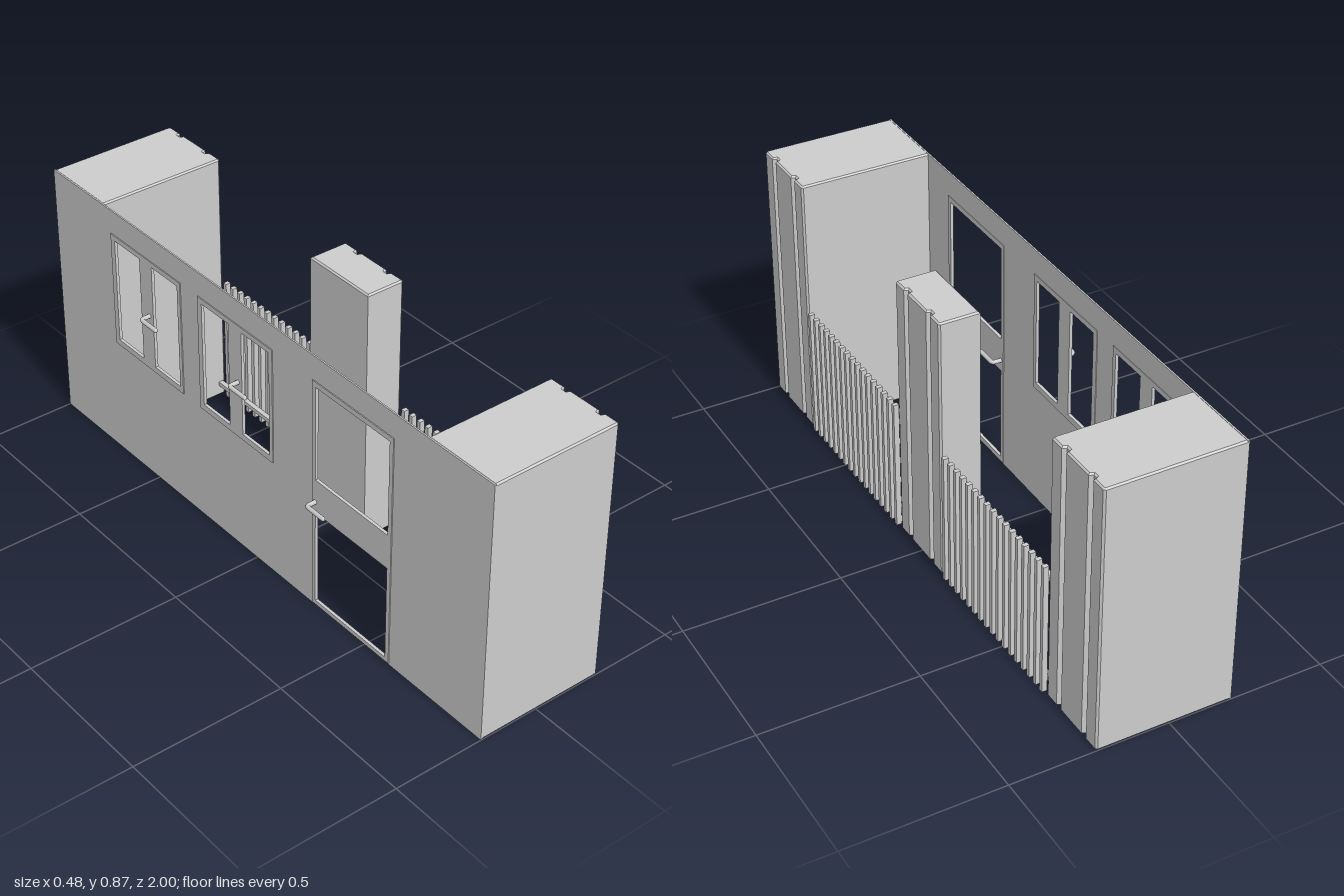
import * as THREE from 'three';

const H = 0.87;

export function createModel() {
  const grey = new THREE.MeshStandardMaterial({ color: 0xcccccc });
  grey.name = 'plain grey';
  const root = new THREE.Group();
  root.name = 'porchFacade';

  function add(name, geometry, parent = root) {
    const mesh = new THREE.Mesh(geometry, grey);
    mesh.name = name;
    parent.add(mesh);
    return mesh;
  }

  function box(name, x0, x1, y0, y1, z0, z1, parent) {
    const m = add(name, new THREE.BoxGeometry(x1 - x0, y1 - y0, z1 - z0), parent);
    m.position.set((x0 + x1) / 2, (y0 + y1) / 2, (z0 + z1) / 2);
    return m;
  }

  // Upright sheet in the z-y plane with rectangular openings [z0, z1, y0, y1]
  function sheet(name, [z0, z1, y0, y1], openings, x0, x1) {
    const rect = (a, b, c, d) => [[a, c], [b, c], [b, d], [a, d]].map(p => new THREE.Vector2(...p));
    const shape = new THREE.Shape(rect(z0, z1, y0, y1));
    openings.forEach(o => shape.holes.push(new THREE.Path(rect(...o))));
    const g = new THREE.ExtrudeGeometry(shape, { depth: x1 - x0, bevelEnabled: false });
    g.rotateY(-Math.PI / 2);
    g.translate(x1, 0, 0);
    return add(name, g);
  }

  // Pillar with two vertical grooves in its street face and chamfered edges
  function pillar(name, xBack, zMid) {
    const hw = 0.13, xf = 0.232, c = 0.006, b = 0.005, depth = 0.012;
    const pts = [[xBack, -hw], [xf - c, -hw], [xf, -hw + c]];
    for (const s of [-0.066, 0.066]) {
      pts.push([xf, s - 0.012], [xf - depth, s - 0.006], [xf - depth, s + 0.006], [xf, s + 0.012]);
    }
    pts.push([xf, hw - c], [xf - c, hw], [xBack, hw]);
    const g = new THREE.ExtrudeGeometry(new THREE.Shape(pts.map(p => new THREE.Vector2(...p))), {
      depth: H - 2 * b, bevelEnabled: true, bevelSegments: 1,
      bevelSize: b, bevelThickness: b, bevelOffset: -b,
    });
    g.rotateX(-Math.PI / 2);
    g.translate(0, b, zMid);
    return add(name, g);
  }

  // Lever handle: short neck out of the wall, then a bent grip along +z
  function handle(name, y, z, dir) {
    const group = new THREE.Group();
    group.name = name;
    const r = 0.007, reach = 0.036 * dir;
    const path = new THREE.CurvePath();
    const v = (x, dz) => new THREE.Vector3(x, 0, dz);
    path.add(new THREE.LineCurve3(v(0, 0), v(reach - 0.01 * dir, 0)));
    path.add(new THREE.QuadraticBezierCurve3(v(reach - 0.01 * dir, 0), v(reach, 0), v(reach, 0.01)));
    path.add(new THREE.LineCurve3(v(reach, 0.01), v(reach, 0.076)));
    add('lever', new THREE.TubeGeometry(path, 24, r, 10), group);
    const tip = add('leverTip', new THREE.SphereGeometry(r, 10, 8), group);
    tip.position.set(reach, 0, 0.074);
    group.position.set(-0.2, y, z);
    root.add(group);
  }

  // Pillars
  pillar('endPillarFront', -0.2, 0.87);
  pillar('endPillarBack', -0.2, -0.87);
  pillar('middlePillar', 0.102, 0);

  // Thin wall with a doorway and two double windows
  const door = [0.265, 0.61, 0.006, 0.79];
  const windows = [[-0.7, -0.35, 0.4, 0.79], [-0.265, 0.085, 0.4, 0.79]];
  sheet('houseWall', [-1, 1, 0, H], [door, ...windows], -0.201, -0.196);

  // Door leaf with upper and lower openings
  sheet('doorFrame', door, [[0.28, 0.595, 0.02, 0.342], [0.28, 0.595, 0.457, 0.773]], -0.204, -0.194);
  handle('doorHandleOutside', 0.38, 0.28, -1);
  handle('doorHandleInside', 0.38, 0.28, 1);

  // Window frames, two panes each
  for (const w of windows) {
    const z = w[0];
    sheet('windowFrame', w, [[z + 0.02, z + 0.147, 0.42, 0.773], [z + 0.208, z + 0.335, 0.42, 0.773]], -0.204, -0.194);
    handle('windowHandle', 0.595, z + 0.19, -1);
  }

  // Picket fences between the pillars
  for (const side of [-1, 1]) {
    const fence = new THREE.Group();
    fence.name = side > 0 ? 'fenceFront' : 'fenceBack';
    root.add(fence);
    const mid = 0.435 * side;
    for (const y of [0.045, 0.392]) {
      box('fenceRail', 0.206, 0.222, y - 0.007, y + 0.007, mid - 0.308, mid + 0.308, fence);
    }
    for (let i = 0; i < 17; i++) {
      const z = mid + (i - 8) * 0.0352;
      box('picket', 0.222, 0.239, 0, 0.435, z - 0.007, z + 0.007, fence);
    }
  }
  return root;
}
